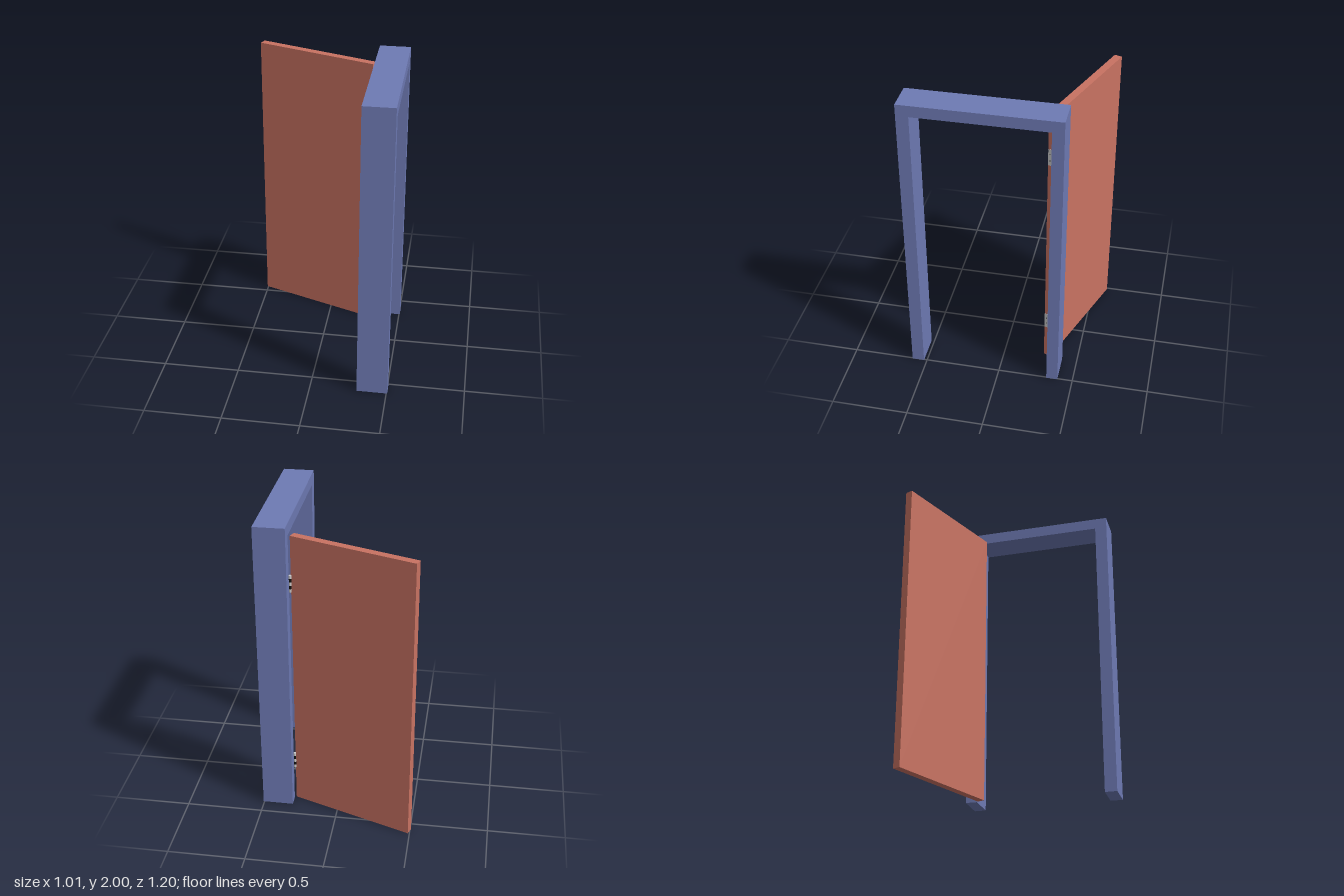
import * as THREE from 'three';

const mat = (color) => new THREE.MeshStandardMaterial({ color });
const blue = mat(0x6e7ab4), red = mat(0xc87262), grey = mat(0xcccccc), black = mat(0x111111);

// Box given by its minimum and maximum corners
function box(parent, name, material, [x0, y0, z0], [x1, y1, z1]) {
  const mesh = new THREE.Mesh(new THREE.BoxGeometry(x1 - x0, y1 - y0, z1 - z0), material);
  mesh.position.set((x0 + x1) / 2, (y0 + y1) / 2, (z0 + z1) / 2);
  mesh.name = name;
  parent.add(mesh);
  return mesh;
}

// Hinge leaf lying in the xy plane, facing +z, with countersunk screws
function hingeLeaf(name) {
  const W = 0.053, H = 0.114, T = 0.002;
  const leaf = new THREE.Group();
  leaf.name = name;
  box(leaf, 'leafPlate', grey, [0, -H / 2, 0], [W, H / 2, T]);
  [[0.02, 0.04], [0.04, 0.022], [0.04, -0.022], [0.02, -0.04]].forEach(([x, y]) => {
    const screw = new THREE.Mesh(new THREE.CylinderGeometry(0.0035, 0.0035, 0.001, 12), black);
    screw.rotation.x = Math.PI / 2;
    screw.position.set(x, y, T);
    screw.name = 'screw';
    leaf.add(screw);
  });
  return leaf;
}

export function createModel() {
  const model = new THREE.Group();

  // Door frame: one arch outline extruded along x
  const outline = new THREE.Shape([
    [-0.6, 0], [-0.52, 0], [-0.52, 1.925], [0.325, 1.925],
    [0.325, 0], [0.4, 0], [0.4, 2], [-0.6, 2],
  ].map(([a, y]) => new THREE.Vector2(a, y)));
  const frame = new THREE.Mesh(new THREE.ExtrudeGeometry(outline, { depth: 0.2, bevelEnabled: false }), blue);
  frame.rotation.y = Math.PI / 2;
  frame.position.x = 0.306;
  frame.name = 'doorFrame';
  model.add(frame);

  // Door, swung open about its hinged edge
  const door = new THREE.Group();
  door.name = 'door';
  door.position.set(0.295, 0, -0.315);
  door.rotation.y = -THREE.MathUtils.degToRad(20);
  box(door, 'doorPanel', red, [-0.835, 0, 0], [0, 1.92, 0.05]);
  model.add(door);

  // Two hinges
  for (const y of [0.308, 1.608]) {
    const doorLeaf = hingeLeaf('doorHingeLeaf');
    doorLeaf.rotation.y = Math.PI / 2;
    doorLeaf.scale.x = -1;
    doorLeaf.position.set(0, y, -0.004);
    door.add(doorLeaf);

    const frameLeaf = hingeLeaf('frameHingeLeaf');
    frameLeaf.position.set(0.302, y, -0.325);
    model.add(frameLeaf);

    // Knuckles alternate between the two leaves
    for (let i = 0; i < 5; i++) {
      const knuckle = new THREE.Mesh(new THREE.CylinderGeometry(0.008, 0.008, 0.0228, 20), i % 2 ? black : grey);
      knuckle.position.set(0.298, y + (i - 2) * 0.0228, -0.324);
      knuckle.name = 'hingeKnuckle';
      model.add(knuckle);
    }
  }
  return model;
}
